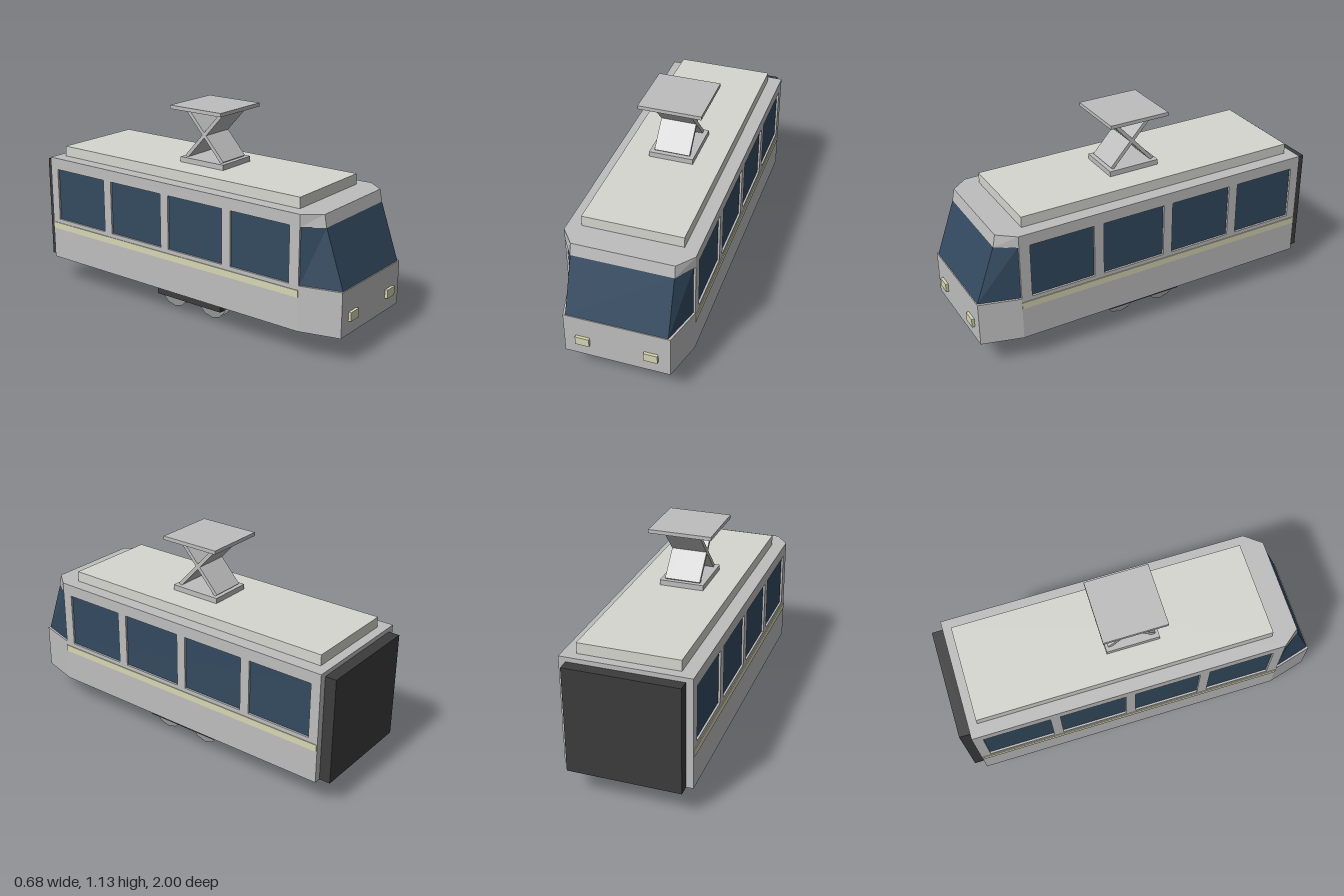
import * as THREE from 'three';

const mat = (name, color, side = THREE.FrontSide) => {
  const m = new THREE.MeshStandardMaterial({ color, flatShading: true, side });
  m.name = name;
  return m;
};

// Outline of the car at one height: straight sides with a tapered nose
const ring = (y, w, back, noseW, noseZ) => [
  [w, y, back], [-w, y, back], [-w, y, 0.77],
  [-noseW, y, noseZ], [noseW, y, noseZ], [w, y, 0.77],
];

// Closed solid between two outlines
function loft(lower, upper) {
  const pos = [];
  const tri = (...pts) => pts.forEach(p => pos.push(...p));
  const n = lower.length;
  for (let i = 0; i < n; i++) {
    const j = (i + 1) % n;
    tri(lower[i], lower[j], upper[j]);
    tri(lower[i], upper[j], upper[i]);
    if (i > 0 && i < n - 1) {
      tri(upper[0], upper[i], upper[j]);
      tri(lower[0], lower[j], lower[i]);
    }
  }
  const g = new THREE.BufferGeometry();
  g.setAttribute('position', new THREE.Float32BufferAttribute(pos, 3));
  g.computeVertexNormals();
  return g;
}

export function createModel() {
  const tram = new THREE.Group();
  tram.name = 'tram';

  const body = mat('body grey', 0xbebebe);
  const roof = mat('roof panel grey', 0xd6d6d0);
  const glass = mat('window blue', 0x334a60);
  const cream = mat('cream trim', 0xd6d6b4);
  const dark = mat('dark rubber', 0x3c3c3c);
  const steel = mat('wheel steel', 0x949494, THREE.DoubleSide);

  const add = (name, geometry, material) => {
    const m = new THREE.Mesh(geometry, material);
    m.name = name;
    tram.add(m);
    return m;
  };
  // Box given by its lower and upper limits on each axis
  const box = (name, material, x0, x1, y0, y1, z0, z1) => {
    const m = add(name, new THREE.BoxGeometry(x1 - x0, y1 - y0, z1 - z0), material);
    m.position.set((x0 + x1) / 2, (y0 + y1) / 2, (z0 + z1) / 2);
    return m;
  };

  // Car shell: lower body, recessed glass band, roof
  add('lowerBody', loft(ring(0.15, 0.338, -0.94, 0.28, 0.985), ring(0.39, 0.338, -0.94, 0.28, 0.985)), body);
  add('glassBand', loft(ring(0.39, 0.327, -0.93, 0.268, 0.98), ring(0.69, 0.327, -0.93, 0.265, 0.875)), glass);
  add('roof', loft(ring(0.69, 0.338, -0.94, 0.267, 0.875), ring(0.755, 0.338, -0.94, 0.265, 0.862)), body);
  box('rearWall', body, -0.327, 0.327, 0.39, 0.69, -0.94, -0.93);
  box('roofPanel', roof, -0.265, 0.265, 0.755, 0.813, -0.89, 0.72);

  // Window pillars, trim stripes and headlights on both sides
  const pillars = [[0.712, 0.77], [0.30, 0.354], [-0.112, -0.06], [-0.525, -0.472], [-0.94, -0.887]];
  for (const s of [-1, 1]) {
    const side = (name, material, xIn, xOut, ...rest) =>
      box(name, material, Math.min(s * xIn, s * xOut), Math.max(s * xIn, s * xOut), ...rest);
    for (const [z0, z1] of pillars) side('windowPillar', body, 0.32, 0.338, 0.39, 0.69, z0, z1);
    side('trimStripe', cream, 0.335, 0.342, 0.33, 0.367, -0.937, 0.77);
    side('headlight', cream, 0.143, 0.217, 0.222, 0.27, 0.98, 1.0);
  }

  // Rear gangway bellows
  box('bellows', dark, -0.30, 0.30, 0.15, 0.73, -1.0, -0.94);

  // Bogie with thin wheel discs
  box('bogie', dark, -0.24, 0.24, 0.065, 0.15, -0.225, 0.215);
  for (const x of [-0.2, -0.15, 0.15, 0.2]) {
    for (const z of [-0.135, 0.128]) {
      const wheel = add('wheelDisc', new THREE.CircleGeometry(0.1, 12), steel);
      wheel.rotation.y = Math.sign(x) * Math.PI / 2;
      wheel.position.set(x, 0.1, z);
    }
  }

  // Pantograph: base, crossed arms, contact plate
  box('pantographBase', body, -0.12, 0.12, 0.813, 0.842, -0.15, 0.14);
  for (const s of [-1, 1]) {
    const arm = add('pantographArm', new THREE.BoxGeometry(0.192, 0.02, 0.36), body);
    arm.position.set(0, 0.976, -0.006);
    arm.rotation.x = s * Math.atan2(0.134, 0.122);
  }
  box('contactPlate', body, -0.17, 0.17, 1.11, 1.13, -0.178, 0.162);

  return tram;
}
